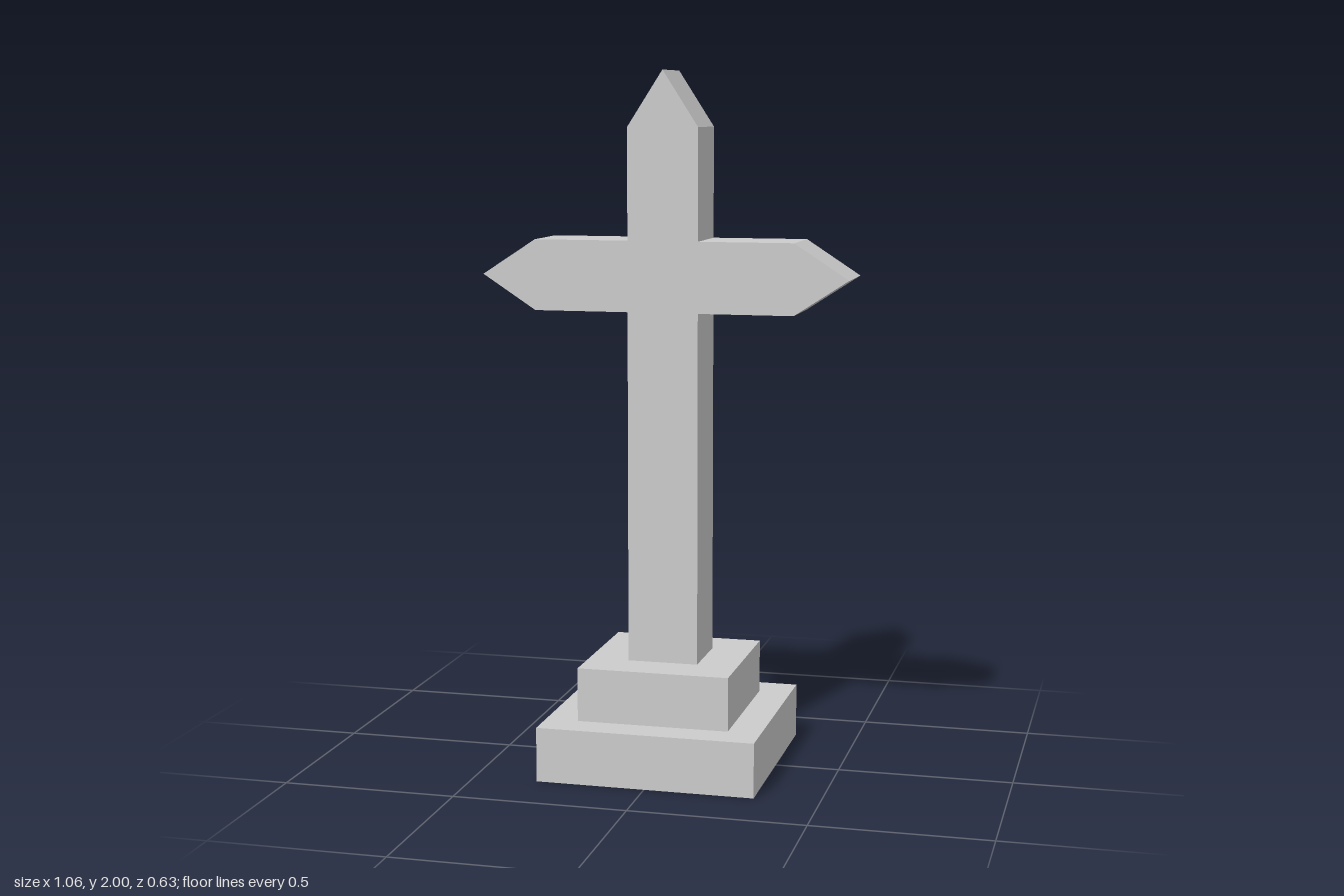
import * as THREE from 'three';

const material = new THREE.MeshStandardMaterial({ color: 0xcccccc, flatShading: true, side: THREE.DoubleSide });

// Removes the triangles lying in the lowest plane, leaving a hollow shell open below
function openBottom(geometry) {
  const g = geometry.index ? geometry.toNonIndexed() : geometry;
  g.computeBoundingBox();
  const limit = g.boundingBox.min.y + 1e-4;
  const p = g.attributes.position;
  const kept = [];
  for (let i = 0; i < p.count; i += 3) {
    if (Math.max(p.getY(i), p.getY(i + 1), p.getY(i + 2)) < limit) continue;
    for (let k = i; k < i + 3; k++) kept.push(p.getX(k), p.getY(k), p.getZ(k));
  }
  const result = new THREE.BufferGeometry();
  result.setAttribute('position', new THREE.Float32BufferAttribute(kept, 3));
  result.computeVertexNormals();
  return result;
}

function addPart(group, name, geometry) {
  const mesh = new THREE.Mesh(openBottom(geometry), material);
  mesh.name = name;
  group.add(mesh);
}

// Square step from height y0 to y1
function step(width, y0, y1) {
  return new THREE.BoxGeometry(width, y1 - y0, width).translate(0, (y0 + y1) / 2, 0);
}

export function createModel() {
  const group = new THREE.Group();
  group.name = 'stoneCross';

  // Stepped plinth
  addPart(group, 'lowerStep', step(0.63, 0, 0.157));
  addPart(group, 'upperStep', step(0.44, 0.157, 0.312));

  // Cross with pointed ends: right half of the outline, then mirrored
  const half = [
    [0.102, 0], [0.102, 1.323], [0.375, 1.323], [0.53, 1.424],
    [0.375, 1.525], [0.102, 1.525], [0.102, 1.842],
  ];
  const mirrored = half.map(([x, y]) => [-x, y]).reverse();
  const outline = [...half, [0, 2], ...mirrored].map(([x, y]) => new THREE.Vector2(x, y));
  const depth = 0.196;
  const cross = new THREE.ExtrudeGeometry(new THREE.Shape(outline), { depth, bevelEnabled: false });
  addPart(group, 'cross', cross.translate(0, 0, -depth / 2));

  return group;
}
